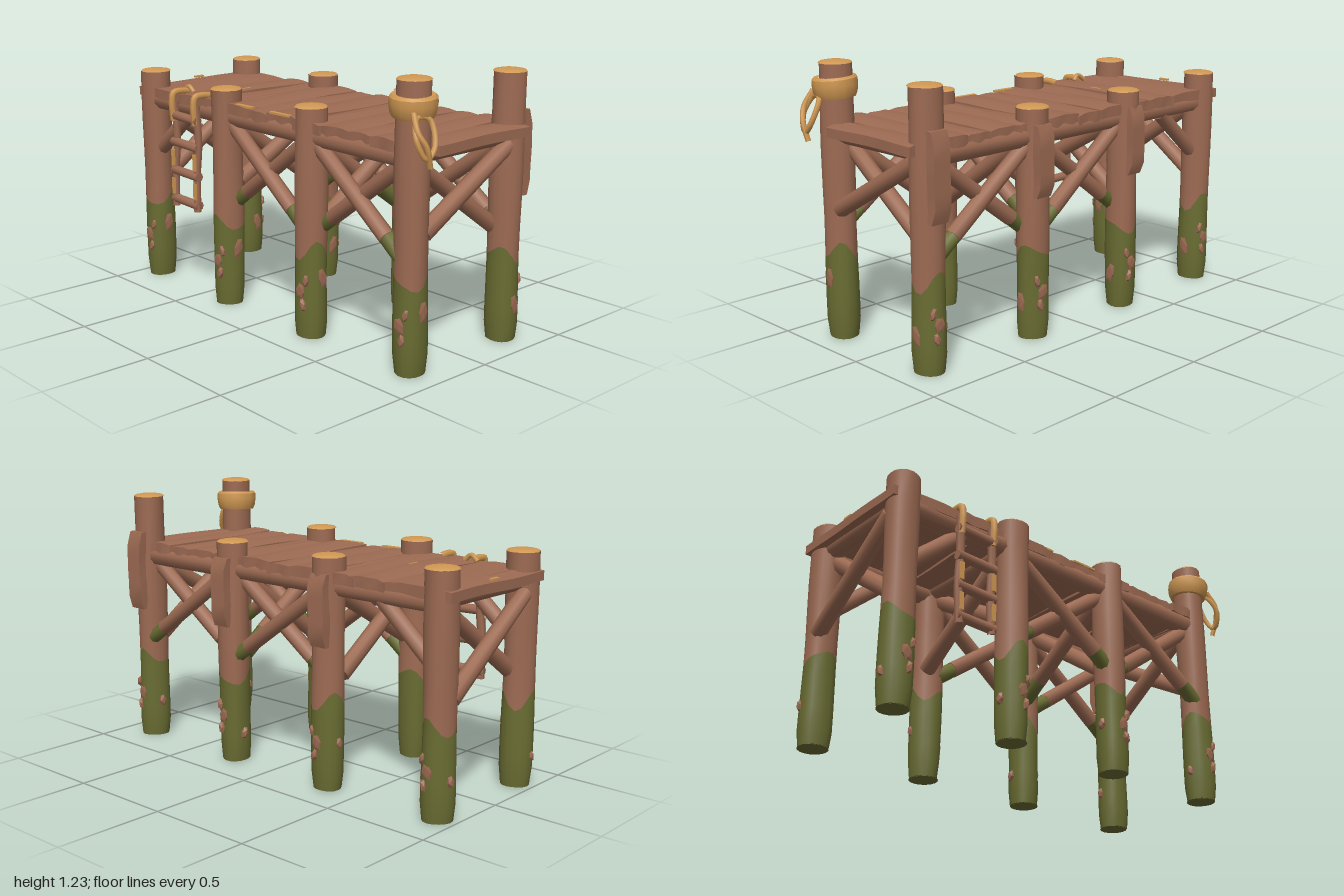
import * as THREE from 'three';
import { toCreasedNormals } from 'three/addons/utils/BufferGeometryUtils.js';

const mat = (name, color) => Object.assign(new THREE.MeshStandardMaterial({ color }), { name });
const V = (x, y, z) => new THREE.Vector3(x, y, z);

export function createModel() {
  const wood = mat('weathered wood', 0x9d6b53);
  const moss = mat('moss', 0x696c32);
  const tan = mat('cut wood and rope', 0xd09853);
  const root = new THREE.Group();
  root.name = 'pier';

  const add = (name, geometry, material, parent = root) => {
    const mesh = new THREE.Mesh(geometry, material);
    mesh.name = name;
    parent.add(mesh);
    return mesh;
  };

  // Move every vertex by a rule, then recompute normals with sharp edges kept
  const bend = (geometry, rule, crease = 0.7) => {
    const p = geometry.attributes.position, v = V(0, 0, 0);
    for (let i = 0; i < p.count; i++) {
      v.fromBufferAttribute(p, i);
      rule(v);
      p.setXYZ(i, v.x, v.y, v.z);
    }
    return toCreasedNormals(geometry, crease);
  };

  // Round timber from a to b
  const log = (name, a, b, r, material = wood, sides = 8, parent = root) => {
    const d = b.clone().sub(a);
    const geo = toCreasedNormals(new THREE.CylinderGeometry(r, r * 1.04, d.length(), sides), 0.9);
    const m = add(name, geo, material, parent);
    m.position.copy(a).addScaledVector(d, 0.5);
    m.quaternion.setFromUnitVectors(V(0, 1, 0), d.normalize());
  };

  // Diagonal brace whose low end may be mossy
  const brace = (low, high, r, mossy) => {
    const mid = low.clone().lerp(high, mossy);
    if (mossy) log('braceMoss', low, mid, r, moss);
    log('brace', mid, high, r);
  };

  // Posts: mossy foot, bare trunk, pale domed top
  const makePost = (x, z, height, seed) => {
    const post = new THREE.Group();
    post.name = 'post';
    post.position.set(x, 0, z);
    root.add(post);
    const side = Math.sign(x);
    const line = (a) => 0.4 + 0.035 * Math.sin(2 * a + seed * 2) + 0.015 * Math.sin(3 * a + seed);
    const radius = (a, y) => 0.071 + 0.003 * Math.sin(3 * a + seed + y * 3) + 0.002 * Math.sin(y * 9 + seed)
      - 0.008 * Math.max(0, 1 - y / 0.05);
    const tube = (from, to) => bend(new THREE.CylinderGeometry(1, 1, 1, 16, 5, true), (v) => {
      const a = Math.atan2(v.z, v.x), t = v.y + 0.5;
      const y = from(a) + (to(a) - from(a)) * t, r = radius(a, y);
      v.set(Math.cos(a) * r, y, Math.sin(a) * r);
    }, 1.2);
    add('postFoot', tube(() => 0.002, line), moss, post);
    add('postTrunk', tube(line, () => height - 0.012), wood, post);
    const base = add('postBase', new THREE.CircleGeometry(0.066, 16), moss, post);
    base.rotation.x = Math.PI / 2;
    base.position.y = 0.003;
    const dome = [[0.0725, 0], [0.066, 0.006], [0.04, 0.011], [0, 0.013]].map(([r, y]) => new THREE.Vector2(r, y));
    add('postTop', new THREE.LatheGeometry(dome, 16), tan, post).position.y = height - 0.013;

    // Bare patches on the front and outer faces, and splinters at the corners: angle, y, half width, height, depth
    [[0, seed % 2 ? 0.17 : 0.28, 0.025, 0.05, 0.006], [side * 1.5, 0.22, 0.028, 0.038, 0.006],
      [side * 1.1, 0.27, 0.014, 0.03, 0.016], [side * 1.3, 0.16, 0.016, 0.032, 0.018],
      [side * 3, 0.14 + 0.04 * (seed % 3), 0.018, 0.03, 0.015]].forEach(([a, y, w, h, d], i) => {
      const chip = add('barkChip', toCreasedNormals(new THREE.IcosahedronGeometry(1, 0), 0.3), wood, post);
      chip.scale.set(w, h, d);
      chip.position.set(Math.sin(a) * 0.071, y, Math.cos(a) * 0.071);
      chip.rotation.set(0, a, 0.3 * Math.sin(i * 2 + seed), 'YXZ');
    });
  };
  [[-0.288, 0.84, 1.23], [0.292, 0.84, 1.2], [-0.3, 0.255, 1.04], [0.3, 0.255, 1.04],
    [-0.3, -0.33, 1.04], [0.305, -0.33, 1.04], [-0.285, -0.91, 1.055], [0.288, -0.91, 1.055]]
    .forEach(([x, z, h], i) => makePost(x, z, h, i));

  // Deck planks, each slightly warped and lapping its neighbours
  const seams = [-0.985, -0.655, -0.49, -0.32, -0.145, 0.0, 0.18, 0.35, 0.52, 0.66, 0.79, 0.93];
  seams.slice(0, -1).forEach((z0, i) => {
    const last = i === seams.length - 2;
    const x0 = last ? -0.24 : -0.335 + 0.008 * Math.sin(i * 4);
    const x1 = last ? 0.31 : 0.335 + 0.008 * Math.sin(i * 7);
    const depth = seams[i + 1] - z0 + 0.01;
    const geo = bend(new THREE.BoxGeometry(x1 - x0, 0.05, depth, 8, 1, 4), (v) => {
      const edge = Math.abs(v.z) / (depth / 2);
      v.y += 0.003 * Math.sin(v.x * 9 + i * 2) - (v.y > 0 ? 0.008 * edge ** 4 : 0);
      v.z += 0.003 * edge * Math.sin(v.x * 14 + i * 3);
      v.x += 0.005 * Math.sin(v.z * 60 + i);
    }, 0.5);
    const plank = add('plank', geo, wood);
    plank.position.set((x0 + x1) / 2, i % 2 ? 0.948 : 0.943, (z0 + seams[i + 1]) / 2);
    plank.rotation.set(0.025 * Math.sin(i * 5), 0.012 * Math.sin(i * 3), 0);
  });

  // Worn pale patches on the deck
  [[-0.322, -0.17, 0.025, 0.11], [-0.322, 0.08, 0.022, 0.13], [-0.035, -0.53, 0.06, 0.036], [0.025, -0.975, 0.05, 0.018]]
    .forEach(([x, z, w, d]) => add('wornPatch', new THREE.BoxGeometry(w, 0.009, d), tan).position.set(x, 0.971, z));

  // Stringers, cross beams and the crossed braces below each row
  for (const s of [-1, 1]) log('stringer', V(s * 0.295, 0.905, 0.84), V(s * 0.29, 0.905, -0.95), 0.047, wood, 10);
  [0.84, 0.255, -0.33, -0.91].forEach((z, i) => {
    log('crossBeam', V(-0.28, 0.923, z), V(0.28, 0.923, z), 0.045, wood, 10);
    const drop = i % 2 ? 0.07 : 0;
    brace(V(-0.25, 0.59 - drop, z + 0.025), V(0.26, 0.88, z + 0.025), 0.037, 0);
    brace(V(0.26, 0.51, z - 0.035), V(-0.25, 0.87, z - 0.035), 0.036, i === 1 ? 0.22 : 0);
  });

  // Side braces: two crossed bays, one knee brace in the ladder bay
  for (const s of [-1, 1]) {
    for (const [a, b] of [[0.82, 0.27], [0.24, -0.31]]) {
      brace(V(s * 0.315, 0.49, a), V(s * 0.3, 0.89, b), 0.035, 0.17);
      brace(V(s * 0.27, 0.49, b), V(s * 0.285, 0.89, a), 0.035, 0.17);
    }
    brace(V(s * 0.29, 0.64, -0.89), V(s * 0.29, 0.88, -0.61), 0.035, 0);
  }

  // Fender boards on the right-hand posts
  [[0.845, 1.02], [0.26, 0.96], [-0.335, 0.96]].forEach(([z, top]) => {
    const h = top - 0.645;
    const geo = bend(new THREE.BoxGeometry(0.045, h, 0.085, 1, 6, 1), (v) => {
      v.z += 0.002 * Math.sin(v.y * 25 + z);
      if (v.x > 0 && Math.abs(v.y) > h * 0.45) v.x -= 0.02;
    }, 0.5);
    add('fenderBoard', geo, wood).position.set(0.373, 0.645 + h / 2, z);
  });

  // Rope wound round the tall corner post, with a hanging loop
  const rope = new THREE.Group();
  rope.name = 'mooringRope';
  root.add(rope);
  const winding = new THREE.LatheGeometry([[0.068, -0.045], [0.085, -0.045], [0.094, -0.025], [0.099, 0.01],
    [0.097, 0.035], [0.088, 0.045], [0.068, 0.043]].map(([r, y]) => new THREE.Vector2(r, y)), 14);
  const coil = add('ropeCoil', toCreasedNormals(winding, 0.6), tan, rope);
  coil.position.set(-0.292, 1.115, 0.84);
  coil.rotation.set(0.05, 0, 0.05);
  const strand = (name, pts, r, closed, material = tan, parent = rope) =>
    add(name, new THREE.TubeGeometry(new THREE.CatmullRomCurve3(pts.map((p) => V(...p)), closed), 20, r, 6, closed), material, parent);
  strand('ropeLoop', [[-0.345, 1.08, 0.91], [-0.382, 1.0, 0.945], [-0.345, 0.925, 0.965], [-0.3, 0.97, 0.965],
    [-0.29, 1.07, 0.925]], 0.012, true);
  strand('ropeTail', [[-0.36, 1.1, 0.905], [-0.375, 1.03, 0.945], [-0.35, 0.97, 0.97], [-0.325, 0.89, 0.965]], 0.012, false);

  // Ladder hung over the edge on rope hooks
  const ladder = new THREE.Group();
  ladder.name = 'ladder';
  root.add(ladder);
  for (const z of [-0.49, -0.66]) {
    strand('ladderRail', [[-0.355, 0.93, z], [-0.35, 0.75, z + 0.006], [-0.355, 0.6, z - 0.004], [-0.36, 0.42, z]],
      0.019, false, wood, ladder);
    strand('ladderHook', [[-0.27, 0.972, z], [-0.32, 0.978, z], [-0.36, 0.972, z], [-0.37, 0.93, z], [-0.364, 0.84, z]],
      0.016, false, tan, ladder);
    // Pale worn outer face of the rail
    for (const y of [0.66, 0.52]) {
      add('railWear', new THREE.BoxGeometry(0.009, 0.08, 0.02), tan, ladder).position.set(-0.373, y, z);
    }
  }
  strand('hookPeak', [[-0.27, 0.97, -0.62], [-0.275, 0.995, -0.65], [-0.27, 0.97, -0.69]], 0.011, false, tan, ladder);
  for (const y of [0.45, 0.59, 0.73, 0.86]) {
    log('ladderRung', V(-0.358, y, -0.475), V(-0.358, y + 0.006, -0.675), 0.022, wood, 8, ladder);
  }
  return root;
}
